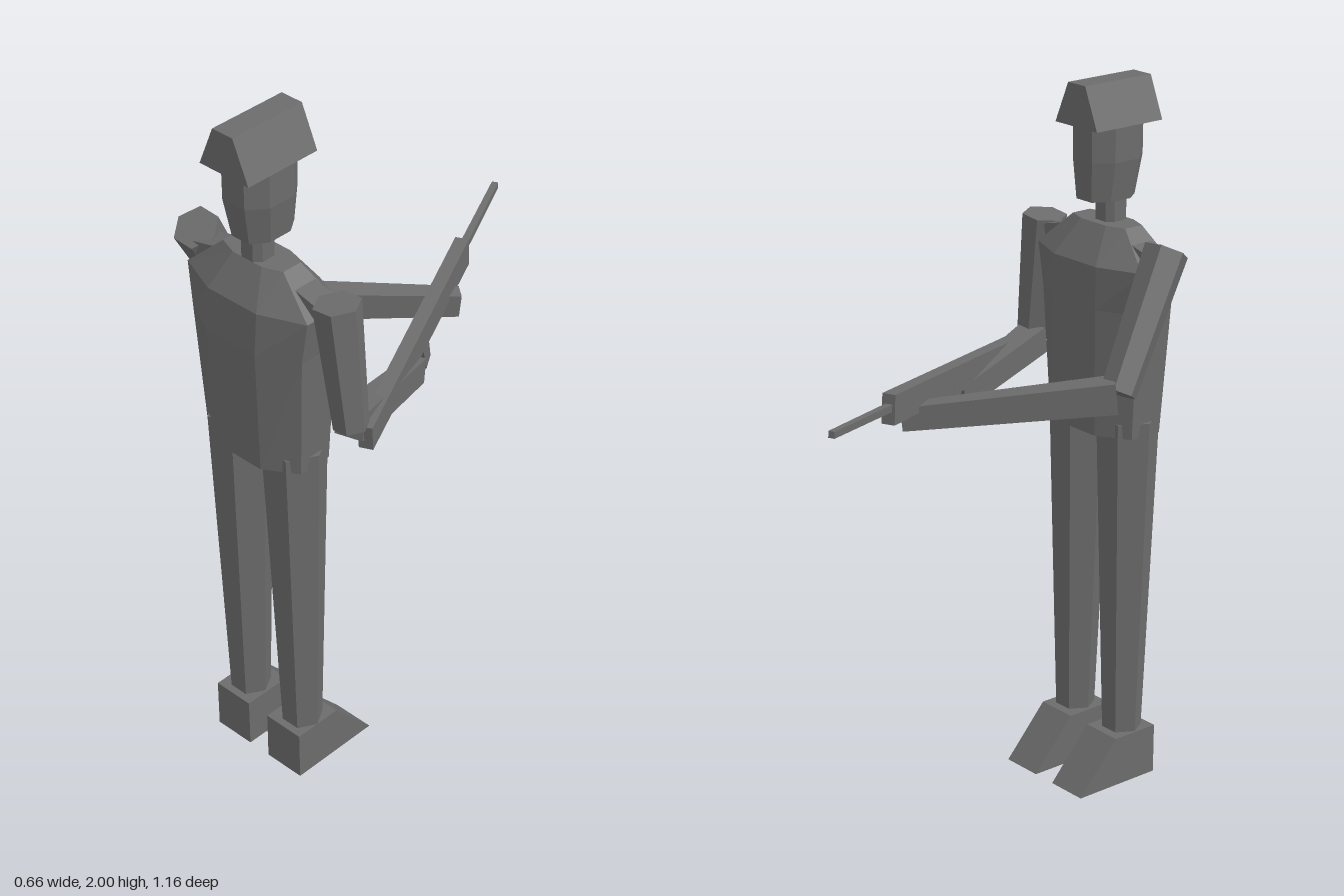
import * as THREE from 'three';

const grey = new THREE.MeshStandardMaterial({ color: 0x6c6c6c, flatShading: true });
grey.name = 'plain grey';

const CX = -0.005; // body centre line
const CZ = 0.46;

function add(group, name, geometry) {
  const mesh = new THREE.Mesh(geometry, grey);
  mesh.name = name;
  group.add(mesh);
  return mesh;
}

// Stack of eight-sided rings: [y, half width, half width of flat, zBack, zFront, half depth of side]
function loft(rings) {
  const pts = rings.map(([y, w, f, zb, zf, d]) => {
    const m = (zb + zf) / 2;
    return [[f, zb], [w, m + d], [w, m - d], [f, zf], [-f, zf], [-w, m - d], [-w, m + d], [-f, zb]]
      .map(([x, z]) => [x + CX, y, z]);
  });
  const pos = [];
  const tri = (a, b, c) => pos.push(...a, ...b, ...c);
  for (let r = 0; r < pts.length - 1; r++) {
    for (let i = 0; i < 8; i++) {
      const j = (i + 1) % 8;
      const a = pts[r][i], b = pts[r][j], c = pts[r + 1][j], d = pts[r + 1][i];
      tri(a, b, c);
      tri(a, c, d);
    }
  }
  const low = pts[0], top = pts[pts.length - 1];
  for (let i = 1; i < 7; i++) {
    tri(low[0], low[i + 1], low[i]);
    tri(top[0], top[i], top[i + 1]);
  }
  const g = new THREE.BufferGeometry();
  g.setAttribute('position', new THREE.Float32BufferAttribute(pos, 3));
  g.computeVertexNormals();
  return g;
}

// Six-sided tapered limb from a to b
function limb(group, name, a, b, ra, rb) {
  const A = new THREE.Vector3(...a), B = new THREE.Vector3(...b);
  const g = new THREE.CylinderGeometry(ra, rb, A.distanceTo(B), 6);
  g.rotateY(Math.PI / 6);
  const mesh = add(group, name, g);
  mesh.position.copy(A).add(B).multiplyScalar(0.5);
  mesh.quaternion.setFromUnitVectors(new THREE.Vector3(0, 1, 0), A.sub(B).normalize());
}

// Four-sided tapered bar from a to b, with [width, height] at each end
function beam(group, name, a, b, sa, sb) {
  const A = new THREE.Vector3(...a), B = new THREE.Vector3(...b);
  const g = new THREE.BoxGeometry(1, 1, A.distanceTo(B));
  const p = g.attributes.position;
  for (let i = 0; i < p.count; i++) {
    const s = p.getZ(i) < 0 ? sa : sb;
    p.setXY(i, p.getX(i) * s[0], p.getY(i) * s[1]);
  }
  g.computeVertexNormals();
  const mesh = add(group, name, g);
  mesh.position.copy(A).add(B).multiplyScalar(0.5);
  mesh.lookAt(B);
}

// Side profile [u, y] extruded along a horizontal axis
function prism(points, depth) {
  const shape = new THREE.Shape(points.map(([x, y]) => new THREE.Vector2(x, y)));
  return new THREE.ExtrudeGeometry(shape, { depth, bevelEnabled: false });
}

export function createModel() {
  const model = new THREE.Group();
  model.name = 'standing figure';

  // Body
  add(model, 'torso', loft([
    [1.04, 0.17, 0.08, 0.565, 0.355, 0.05],
    [1.4, 0.193, 0.085, 0.577, 0.345, 0.06],
    [1.52, 0.21, 0.085, 0.567, 0.345, 0.06],
    [1.615, 0.105, 0.05, 0.51, 0.41, 0.03],
  ]));
  add(model, 'neck', loft([
    [1.6, 0.037, 0.02, 0.51, 0.435, 0.02],
    [1.69, 0.037, 0.02, 0.51, 0.435, 0.02],
  ]));
  add(model, 'head', loft([
    [1.68, 0.06, 0.03, 0.53, 0.375, 0.035],
    [1.79, 0.077, 0.038, 0.549, 0.368, 0.042],
    [1.89, 0.077, 0.038, 0.549, 0.367, 0.042],
  ]));

  // Ridged helmet
  const helmet = prism([[-0.083, 1.885], [0.083, 1.885], [0.034, 2], [-0.034, 2]], 0.232);
  add(model, 'helmet', helmet).position.set(CX, 0, 0.344);

  // Legs and wedge feet
  for (const side of [-1, 1]) {
    const x = side * 0.098;
    limb(model, 'leg', [x + CX, 1.08, CZ], [x * 1.02 + CX * 0.5, 0.14, CZ], 0.088, 0.056);
    const foot = prism([[-0.53, 0], [-0.255, 0], [-0.385, 0.145], [-0.53, 0.145]], 0.123);
    foot.rotateY(Math.PI / 2);
    add(model, 'foot', foot).position.x = side * 0.097 - 0.0665;
    beam(model, 'shoulderJoint', [side * 0.11 + CX, 1.565, 0.455], [side * 0.21 + CX, 1.54, 0.455],
      [0.07, 0.045], [0.07, 0.045]);
  }

  // Arms
  limb(model, 'rightUpperArm', [-0.24, 1.58, 0.46], [-0.28, 1.235, 0.262], 0.062, 0.05);
  beam(model, 'rightForearm', [-0.285, 1.235, 0.25], [0.067, 1.175, -0.19], [0.08, 0.085], [0.05, 0.065]);
  limb(model, 'leftUpperArm', [0.248, 1.575, 0.456], [0.287, 1.225, 0.452], 0.063, 0.047);
  beam(model, 'leftForearm', [0.27, 1.215, 0.44], [0.165, 1.145, 0.08], [0.08, 0.075], [0.048, 0.07]);

  // Rifle
  const rifle = new THREE.Group();
  rifle.name = 'rifle';
  beam(rifle, 'rifleBody', [0.311, 1.185, 0.426], [-0.021, 1.245, -0.3], [0.038, 0.07], [0.038, 0.082]);
  beam(rifle, 'barrel', [-0.015, 1.248, -0.285], [-0.147, 1.274, -0.575], [0.02, 0.02], [0.018, 0.018]);
  beam(rifle, 'magazine', [0.131, 1.2, 0.035], [0.115, 1.105, 0.005], [0.034, 0.055], [0.034, 0.045]);
  model.add(rifle);

  return model;
}
